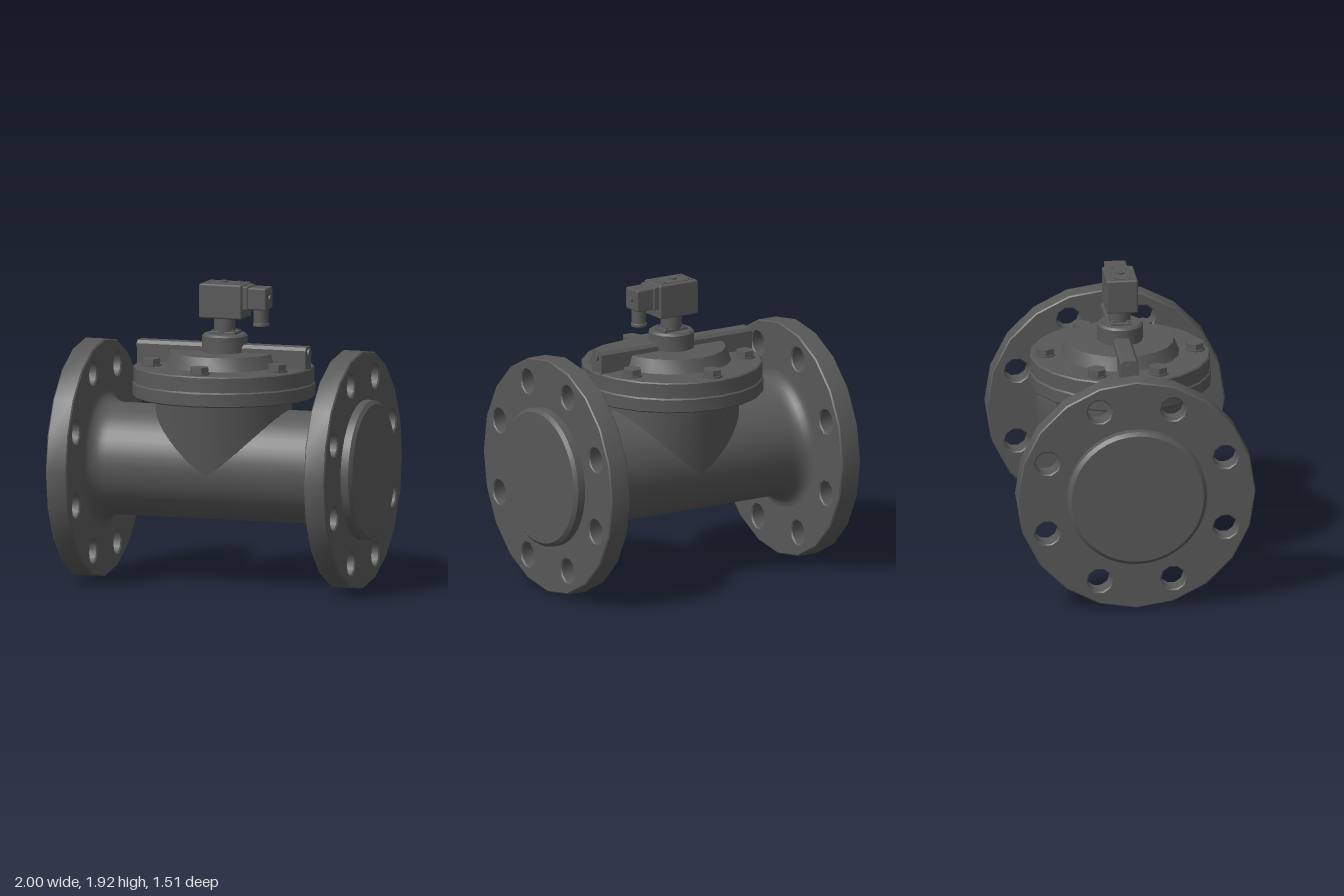
import * as THREE from 'three';
import { toCreasedNormals } from 'three/addons/utils/BufferGeometryUtils.js';
import { RoundedBoxGeometry } from 'three/addons/geometries/RoundedBoxGeometry.js';

const AXIS = 0.76; // height of the pipe axis

export function createModel() {
  const model = new THREE.Group();
  model.name = 'solenoidValve';
  const iron = new THREE.MeshStandardMaterial({ color: 0x585858 });
  iron.name = 'dark grey iron';

  const add = (name, geometry, x = 0, y = 0, z = 0, parent = model) => {
    const mesh = new THREE.Mesh(geometry, iron);
    mesh.name = name;
    mesh.position.set(x, y, z);
    parent.add(mesh);
    return mesh;
  };
  const crease = (g, angle = 0.6) => toCreasedNormals(g, angle);
  const lathe = (points, sides) =>
    crease(new THREE.LatheGeometry(points.map(([r, y]) => new THREE.Vector2(r, y)), sides));
  const cylinder = (r, h, sides, top = r) => crease(new THREE.CylinderGeometry(top, r, h, sides));
  const box = (w, h, d, r = 0.01) => new RoundedBoxGeometry(w, h, d, 1, r);
  const ring = (cx, cy, r, sides) => Array.from({ length: sides }, (_, i) => {
    const a = (i / sides) * Math.PI * 2;
    return new THREE.Vector2(cx + r * Math.cos(a), cy + r * Math.sin(a));
  });

  // Pipe body with flared ends and chamfered raised faces
  const half = [[0.355, 0]];
  for (let i = 0; i <= 6; i++) {
    const a = (i / 6) * Math.PI / 2;
    half.push([0.44 - 0.085 * Math.cos(a), 0.79 - 0.12 * (1 - Math.sin(a))]);
  }
  half.push([0.443, 0.8], [0.443, 0.98], [0.42, 1], [0, 1]);
  const mirrored = half.slice(1).reverse().map(([r, y]) => [r, -y]);
  const body = lathe([...mirrored, ...half], 40);
  body.rotateZ(-Math.PI / 2);
  add('pipeBody', body, 0, AXIS);

  // End flanges with eight bolt holes
  const disc = new THREE.Shape(ring(0, 0, 0.757, 20));
  for (let i = 0; i < 8; i++) {
    const a = (i + 0.5) * Math.PI / 4;
    disc.holes.push(new THREE.Path(ring(0.612 * Math.cos(a), 0.612 * Math.sin(a), 0.077, 10)));
  }
  const flange = new THREE.ExtrudeGeometry(disc, {
    depth: 0.124, bevelThickness: 0.008, bevelSize: 0.008, bevelOffset: -0.008, bevelSegments: 1,
  });
  flange.translate(0, 0, -0.062);
  flange.rotateY(Math.PI / 2);
  const flangeGeometry = crease(flange, 0.7);
  for (const side of [-1, 1]) {
    add(side < 0 ? 'rightFlange' : 'leftFlange', flangeGeometry, side * 0.86, AXIS);
  }

  // Neck, narrowing front to back until it meets the sides of the pipe
  const neck = new THREE.CylinderGeometry(0.43, 0.43, 0.49, 40, 8, true);
  neck.translate(0, 0.955, 0);
  const p = neck.attributes.position;
  for (let i = 0; i < p.count; i++) {
    const t = THREE.MathUtils.clamp((p.getY(i) - 0.71) / 0.49, 0, 1);
    p.setZ(i, p.getZ(i) * (0.815 + 0.185 * t));
  }
  neck.computeVertexNormals();
  add('neck', crease(neck, 0.9));

  // Lower bonnet ring and bonnet cover with raised crown
  add('bonnetRing', lathe([[0, 1.19], [0.57, 1.19], [0.578, 1.198], [0.578, 1.275],
    [0.568, 1.285], [0, 1.285]], 20));
  add('bonnetCover', lathe([[0, 1.285], [0.572, 1.285], [0.572, 1.377], [0.564, 1.385],
    [0.375, 1.39], [0.34, 1.475], [0, 1.475]], 20));

  // Six hex bolts on the cover
  for (let i = 0; i < 6; i++) {
    const a = Math.PI / 2 + i * Math.PI / 3;
    const s = Math.abs(Math.cos(a)) < 0.1 ? [0, 0.475 * Math.sign(Math.sin(a))]
      : [0.42 * Math.sign(Math.cos(a)), 0.195 * Math.sign(Math.sin(a))];
    const bolt = new THREE.Group();
    bolt.name = 'coverBolt';
    bolt.position.set(s[0], 1.385, s[1]);
    model.add(bolt);
    add('boltWasher', cylinder(0.066, 0.012, 16), 0, 0.006, 0, bolt);
    add('boltHead', cylinder(0.062, 0.04, 6, 0.06), 0, 0.03, 0, bolt).rotation.y = Math.PI / 6;
  }

  // Cross rib with chamfered top and round plugs at its ends
  const profile = new THREE.Shape([[-0.057, 1.38], [0.057, 1.38], [0.057, 1.505],
    [0.04, 1.525], [-0.04, 1.525], [-0.057, 1.505]].map(([x, y]) => new THREE.Vector2(x, y)));
  const rib = new THREE.ExtrudeGeometry(profile, { depth: 1.124, bevelEnabled: false });
  rib.translate(0, 0, -0.562);
  rib.rotateY(Math.PI / 2);
  add('crossRib', rib);
  for (const side of [-1, 1]) {
    add('ribPlug', cylinder(0.027, 0.02, 12), side * 0.565, 1.487, 0).rotation.z = Math.PI / 2;
  }

  // Central hub, mounting plate and solenoid stem
  add('hub', lathe([[0, 1.46], [0.145, 1.46], [0.145, 1.575], [0.132, 1.588], [0, 1.588]], 16), 0.005);
  add('stemPlate', box(0.17, 0.02, 0.13, 0.004), 0.01, 1.595);
  for (const x of [-0.055, 0.075]) {
    for (const z of [-0.045, 0.045]) add('plateScrew', cylinder(0.013, 0.012, 8), x, 1.608, z);
  }
  add('stem', cylinder(0.068, 0.1, 16), 0.005, 1.645);

  // Solenoid coil with top plate, corner screws and nut
  add('coil', box(0.285, 0.22, 0.2, 0.012), 0.007, 1.8);
  add('coilTopPlate', new THREE.BoxGeometry(0.23, 0.006, 0.14), 0.002, 1.91);
  for (const x of [-0.085, 0.09]) {
    for (const z of [-0.045, 0.045]) add('coilScrew', cylinder(0.01, 0.006, 8), x, 1.915, z);
  }
  add('coilNut', cylinder(0.027, 0.014, 12), 0, 1.917);

  // Electrical connector with screw and cable gland
  add('connectorNeck', box(0.05, 0.15, 0.16, 0.008), 0.16, 1.825);
  add('connector', box(0.125, 0.14, 0.14, 0.01), 0.24, 1.822);
  add('connectorScrew', cylinder(0.018, 0.014, 10), 0.306, 1.825).rotation.z = Math.PI / 2;
  add('cableGland', lathe([[0, 1.645], [0.052, 1.645], [0.052, 1.66], [0.046, 1.665],
    [0.046, 1.76], [0, 1.76]], 16), 0.247);

  return model;
}
